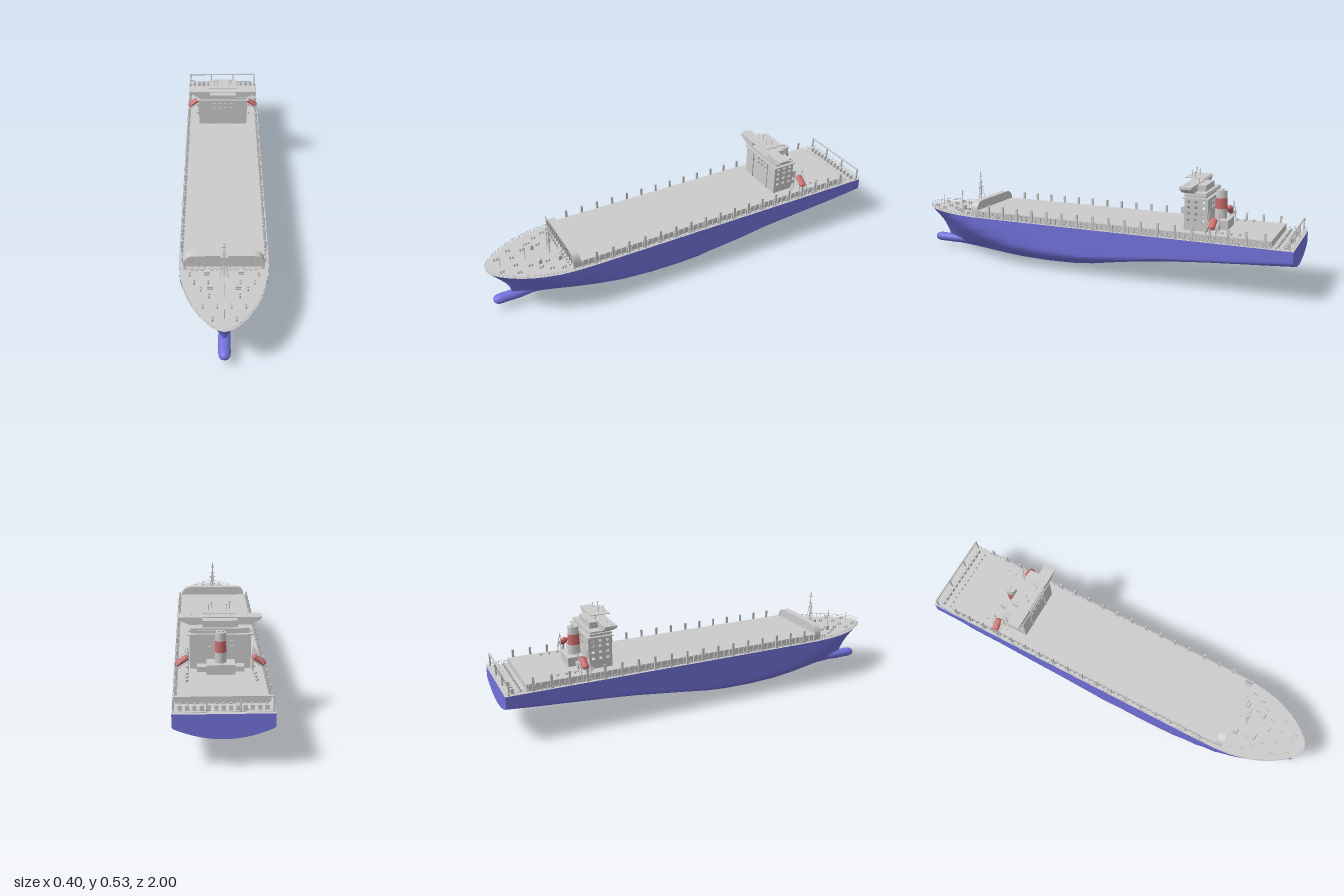
import * as THREE from 'three';
import { mergeGeometries } from 'three/addons/utils/BufferGeometryUtils.js';

const mat = (color) => new THREE.MeshStandardMaterial({ color, side: THREE.DoubleSide });
const DECK = 0.23, TOP = 0.262;

// Hull stations: z, half beam at deck, keel height, bilge height, bilge exponent
const STATIONS = [
  [-1, .2, .125, .172, .5], [-.8, .2, .113, .155, .5], [-.6, .2, .1, .14, .5], [-.4, .2, .081, .123, .5],
  [-.25, .2, .062, .105, .5], [-.1, .2, .035, .088, .5], [0, .2, .016, .08, .5], [.1, .2, .005, .077, .5],
  [.25, .2, 0, .08, .5], [.4, .2, .002, .095, .5], [.52, .2, .006, .125, .54], [.62, .198, .011, .165, .6],
  [.7, .19, .015, .2, .7], [.77, .174, .02, .22, .9], [.82, .157, .023, .23, 1.15], [.86, .139, .026, .23, 1.4],
  [.89, .122, .04, .23, 1.45], [.903, .114, .1, .23, 1.1], [.92, .103, .13, .23, .95], [.945, .083, .16, .23, .85],
  [.965, .065, .185, .23, .75], [.98, .049, .205, .23, .65], [.992, .03, .22, .23, .55], [1, .002, .2295, .23, .5]
];

// Half beam of the deck edge at any z
function beam(z) {
  let i = 1;
  while (i < STATIONS.length - 1 && STATIONS[i][0] < z) i++;
  const [z0, b0] = STATIONS[i - 1], [z1, b1] = STATIONS[i];
  return b0 + (b1 - b0) * (z - z0) / (z1 - z0);
}

// Cross-section from the left deck edge under the keel to the right one
function section([, b, keel, bilge, p]) {
  const n = 20, pts = [];
  for (let j = -n; j <= n; j++) {
    const v = (j / n) ** 2, y = keel + (DECK - keel) * v;
    const x = b * Math.min(1, ((y - keel) / (bilge - keel)) ** p);
    pts.push(new THREE.Vector2(j < 0 ? x : -x, y));
  }
  return pts;
}

function hullGeometry() {
  const pos = [], idx = [], m = 41;
  STATIONS.forEach((s, i) => {
    section(s).forEach((q, j) => {
      pos.push(q.x, q.y, s[0]);
      if (i < STATIONS.length - 1 && j < m - 1) {
        const a = i * m + j, b = a + m;
        idx.push(a, b, b + 1, a, b + 1, a + 1);
      }
    });
  });
  const g = new THREE.BufferGeometry();
  g.setAttribute('position', new THREE.Float32BufferAttribute(pos, 3));
  g.setIndex(idx);
  g.computeVertexNormals();
  return g;
}

// Box given by its limits
function box(x0, x1, y0, y1, z0, z1) {
  return new THREE.BoxGeometry(x1 - x0, y1 - y0, z1 - z0).translate((x0 + x1) / 2, (y0 + y1) / 2, (z0 + z1) / 2);
}
// Thin round bar between two points
function bar(a, b, r = .0015) {
  const p = new THREE.Vector3(...a), d = new THREE.Vector3(...b).sub(p), len = d.length();
  const g = new THREE.CylinderGeometry(r, r, len, 6).translate(0, len / 2, 0);
  g.applyQuaternion(new THREE.Quaternion().setFromUnitVectors(new THREE.Vector3(0, 1, 0), d.normalize()));
  return g.translate(...p.toArray());
}
const drum = (x, y, z, r, h) => new THREE.CylinderGeometry(r, r, h, 12).translate(x, y + h / 2, z);
const shape = (pts) => new THREE.Shape(pts.map(([x, y]) => new THREE.Vector2(x, y)));
const rect = (x, y, w, h) => [[x - w / 2, y - h / 2], [x + w / 2, y - h / 2], [x + w / 2, y + h / 2], [x - w / 2, y + h / 2]];
const extrude = (s, depth) => new THREE.ExtrudeGeometry(s, { depth, bevelEnabled: false, curveSegments: 10 });

// Wall with rectangular windows, lying in the xy plane
function wall(x0, x1, y0, y1, windows) {
  const s = shape([[x0, y0], [x1, y0], [x1, y1], [x0, y1]]);
  windows.forEach(([x, y, w, h]) => s.holes.push(shape(rect(x, y, w, h))));
  return extrude(s, .005);
}
// Arch with rounded upper corners
function arch(hw, y0, y1, r) {
  const s = new THREE.Shape();
  s.moveTo(-hw, y0); s.lineTo(hw, y0); s.lineTo(hw, y1 - r);
  s.quadraticCurveTo(hw, y1, hw - r, y1);
  s.lineTo(r - hw, y1);
  s.quadraticCurveTo(-hw, y1, -hw, y1 - r);
  return s;
}

export function createModel() {
  const ship = new THREE.Group();
  const grey = mat(0xcccccc), blue = mat(0x7272dc), red = mat(0xcc6c6c);
  const add = (name, geos, m = grey) => {
    const list = [].concat(geos).map((g) => (g.index ? g.toNonIndexed() : g));
    const mesh = new THREE.Mesh(mergeGeometries(list), m);
    mesh.name = name;
    ship.add(mesh);
  };

  // Hull, transom, bulbous bow and deck
  add('hull', hullGeometry(), blue);
  add('transom', new THREE.ShapeGeometry(new THREE.Shape(section(STATIONS[0]))).rotateY(Math.PI).translate(0, 0, -1), blue);
  const bulb = [[.012, .7], [.02, .8], [.025, .87], [.024, .92], [.0245, .95], [.023, .967], [.018, .979], [.01, .985], [0, .987]];
  add('bulbousBow', new THREE.LatheGeometry(bulb.map((p) => new THREE.Vector2(...p)), 24)
    .rotateX(Math.PI / 2).scale(1.1, .95, 1).translate(0, .048, 0), blue);
  const edge = [...STATIONS.map((s) => [s[1], -s[0]]), ...STATIONS.map((s) => [-s[1], -s[0]]).reverse()];
  add('deck', new THREE.ShapeGeometry(shape(edge)).rotateX(-Math.PI / 2).translate(0, DECK, 0));
  add('hatchDeck', box(-.18, .18, DECK - .002, TOP, -.9, .615));

  // Railing along the deck edge
  const rails = [], posts = [];
  for (const s of [-1, 1]) {
    for (let i = 1; i < STATIONS.length; i++) {
      const [z0, b0] = STATIONS[i - 1], [z1, b1] = STATIONS[i];
      for (const y of [.238, .246]) rails.push(bar([s * (b0 - .002), y, z0], [s * (b1 - .002), y, z1], .0008));
    }
    for (let z = -.98; z < .99; z += .02) {
      const x = s * (beam(z) - .002);
      rails.push(bar([x, DECK, z], [x, .246, z], .0008));
    }
    // Tall side posts and hatch side ribs
    for (let k = 0; k < 18; k++) {
      const z = .53 - k * .0825;
      posts.push(box(s * .188 - .004, s * .188 + .004, DECK, .296, z - .005, z + .005));
    }
    for (let z = -.89; z < .6; z += .0275) posts.push(box(s * .183 - .004, s * .183 + .004, DECK, TOP - .002, z - .003, z + .003));
  }
  add('railing', rails);
  add('sidePosts', posts);

  // Breakwater with rim and ribs
  const rim = arch(.178, DECK, .307, .055);
  rim.holes.push(arch(.168, DECK + .004, .298, .05));
  const ribs = [];
  for (let k = -5; k <= 5; k++) ribs.push(box(k * .028 - .0015, k * .028 + .0015, DECK, .3, .628, .638));
  add('breakwater', [extrude(arch(.174, DECK, .302, .053), .022).translate(0, 0, .606), extrude(rim, .036).translate(0, 0, .604), ...ribs]);

  // Foremast: braced tripod with crossbars
  const mast = [bar([0, DECK, .69], [0, .43, .69], .0025), bar([0, DECK, .65], [0, .37, .69])];
  for (const s of [-1, 1]) {
    mast.push(bar([s * .02, DECK, .7], [s * .003, .37, .69]));
    for (let k = 0; k < 5; k++) {
      const y = .25 + k * .024, x = .018 - k * .003;
      mast.push(bar([s * x, y, .699], [-s * (x - .003), y + .024, .697], .001));
    }
  }
  for (const [y, w] of [[.345, .016], [.37, .012], [.405, .008]]) mast.push(box(-w, w, y, y + .004, .685, .695));
  add('foremast', mast);
  add('bowMasts', [bar([0, DECK, .81], [0, .32, .81], .002), box(-.008, .008, .295, .298, .807, .813),
    bar([0, DECK, .93], [0, .285, .93], .0015), ...[-.085, .085].map((x) => bar([x, DECK, .66], [x, .285, .66], .002))]);

  // Winches, bollards and vents on the foredeck
  const gear = [];
  for (const s of [-1, 1]) {
    for (const [x, z] of [[.07, .72], [.065, .8], [.03, .86], [.1, .76], [.09, .86], [.05, .93], [.13, .72], [.15, .67]]) {
      gear.push(drum(s * x, DECK, z, .0045, .014), drum(s * x, DECK, z + .013, .0045, .014));
    }
    for (const [x, z] of [[.06, .76], [.075, .67]]) {
      gear.push(box(s * x - .012, s * x + .012, DECK, .24, z - .008, z + .008));
      gear.push(new THREE.CylinderGeometry(.008, .008, .026, 12).rotateZ(Math.PI / 2).translate(s * x, .246, z));
    }
    for (let k = 0; k < 6; k++) gear.push(box(s * (.03 + k * .022) - .006, s * (.03 + k * .022) + .006, DECK, .238, .642, .65));
  }
  add('foredeckGear', gear);

  // Stern frame, bollards and winches
  const stern = [box(-.195, .195, .29, .296, -.985, -.978)];
  for (let k = -6; k <= 6; k++) {
    const x = k * .028;
    stern.push(box(x - .008, x + .008, DECK, .252, -.97, -.955), drum(x, DECK, -.925, .005, .014));
  }
  for (const x of [-.192, -.065, .065, .192]) stern.push(box(x - .003, x + .003, DECK, .296, -.985, -.978));
  for (const y of [.238, .246]) stern.push(bar([-.198, y, -.997], [.198, y, -.997], .001));
  add('sternGear', stern);

  // Hollow deckhouse with window openings
  const frontWin = [], sideWin = [];
  for (const y of [.368, .393]) for (const x of [-.047, -.015, .015, .047]) frontWin.push([x, y, .018, .012]);
  for (const y of [.31, .34, .37, .395]) for (const z of [-.035, 0, .035]) sideWin.push([z, y, .014, .012]);
  const side = (x) => wall(-.054, .054, TOP, .412, sideWin).rotateY(Math.PI / 2).translate(x, 0, -.541);
  add('deckhouse', [wall(-.13, .13, TOP, .412, frontWin).translate(0, 0, -.49),
    wall(-.13, .13, TOP, .412, frontWin).translate(0, 0, -.597), side(.125), side(-.13),
    box(-.14, .14, .41, .415, -.6, -.478), box(-.125, .125, .415, .437, -.585, -.487), box(-.135, .135, .424, .43, -.588, -.483),
    box(-.067, -.062, TOP, .412, -.487, -.48), box(.062, .067, TOP, .412, -.487, -.48), box(-.067, .067, .405, .411, -.487, -.48)]);

  // Bridge with tapering wings
  const wings = shape([[-.178, .469], [-.178, .459], [-.13, .436], [.13, .436], [.178, .459], [.178, .469]]);
  wings.holes.push(shape(rect(0, .456, .14, .02)));
  add('bridge', [extrude(wings, .055).translate(0, 0, -.53), box(-.075, .075, .436, .466, -.57, -.515),
    box(-.18, .18, .467, .471, -.532, -.473)]);
  const roof = [box(-.073, .073, .495, .498, -.56, -.468)];
  for (const x of [-.045, .045]) roof.push(bar([x, .468, -.53], [x, .497, -.53], .002));
  for (const [x, y, z] of [[-.043, .528, -.49], [-.028, .522, -.51], [.034, .528, -.49], [.048, .522, -.51]]) {
    roof.push(bar([x, .497, z], [x, y, z], .0018), box(x - .007, x + .007, y - .003, y, z - .002, z + .002));
  }
  for (const x of [-.175, -.12, .12, .175]) roof.push(bar([x, .47, -.5], [x, .481, -.5], .001));
  add('roofMasts', roof);

  // Funnel with coloured band, on an engine casing
  add('engineCasing', [box(-.06, .06, TOP, .305, -.675, -.6), box(-.1, .1, TOP, .285, -.64, -.6)]);
  const stack = (y0, y1, r0, r1) => new THREE.CylinderGeometry(r1, r0, y1 - y0, 8).rotateY(Math.PI / 8)
    .scale(.95, 1, 1.05).translate(0, (y0 + y1) / 2, -.626);
  add('funnel', [stack(.305, .35, .028, .027), stack(.4, .436, .0255, .0245), drum(-.008, .43, -.63, .005, .012), drum(.008, .43, -.63, .005, .012)]);
  add('funnelBand', stack(.35, .4, .0275, .026), red);

  // Lifeboats on sloping davits
  const boats = [], davits = [], vents = [];
  for (const s of [-1, 1]) {
    boats.push(new THREE.CapsuleGeometry(.013, .042, 6, 12).rotateZ(Math.PI / 2).scale(1, 1, 1.3)
      .rotateZ(-s * .6).translate(s * .163, .311, -.63));
    for (const z of [-.652, -.608]) {
      davits.push(bar([s * .13, .318, z], [s * .19, .28, z], .0025), bar([s * .132, .315, z], [s * .14, .36, z], .002),
        bar([s * .14, .36, z], [s * .18, .3, z], .0015), bar([s * .186, DECK, z], [s * .186, .3, z], .0025),
        bar([s * .135, TOP, z], [s * .135, .318, z], .0025));
    }
    for (const z of [-.75, -.71, -.67, -.59]) vents.push(drum(s * .143, TOP, z, .005, .008), drum(s * .143, TOP + .006, z, .009, .005));
  }
  add('lifeboats', boats, red);
  add('davits', davits);
  add('deckVents', vents);
  return ship;
}
